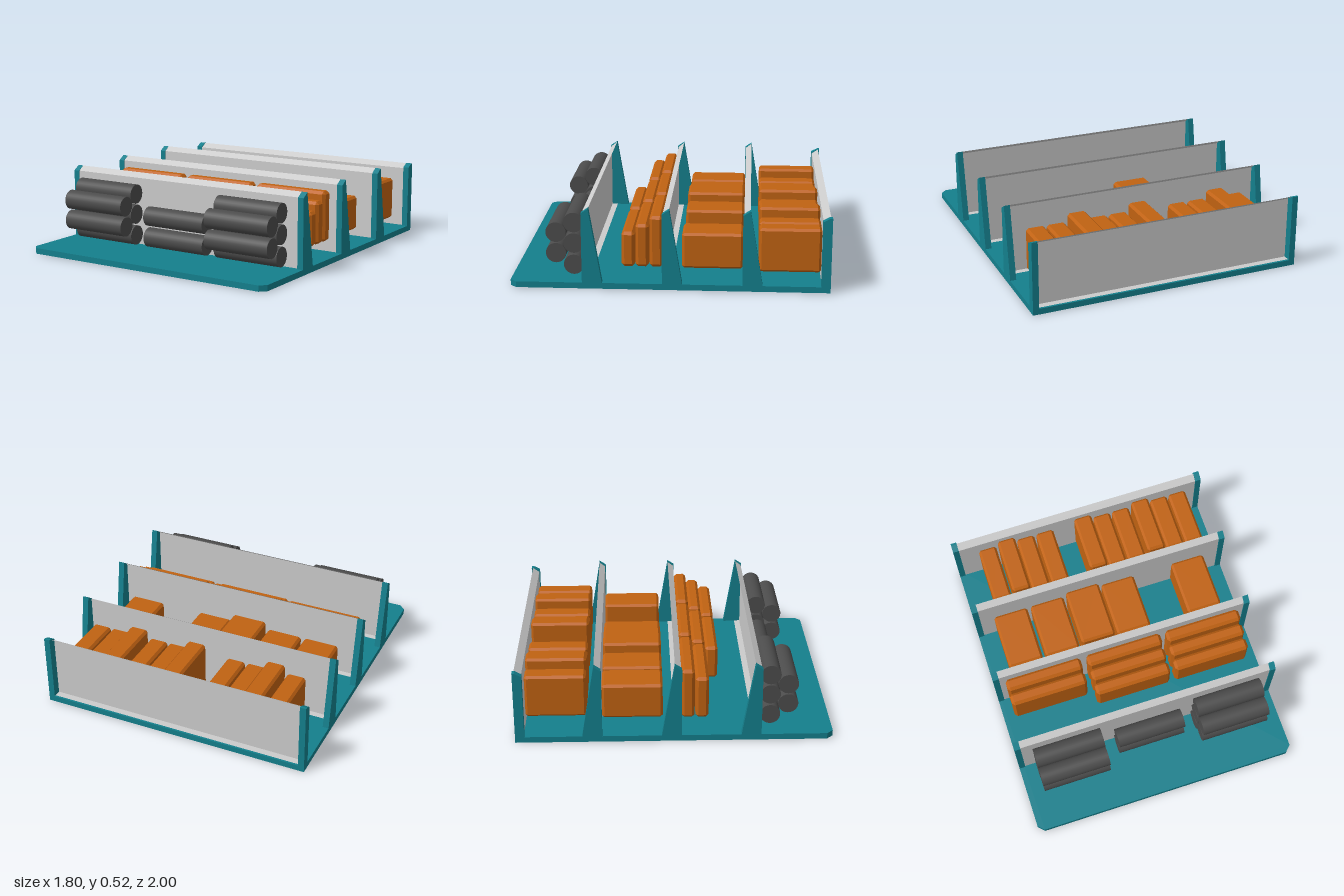
import * as THREE from 'three';
import { ConvexGeometry } from 'three/addons/geometries/ConvexGeometry.js';

const mat = (color, side = THREE.FrontSide) => new THREE.MeshStandardMaterial({ color, side });
const teal = mat(0x147f8c);
const orange = mat(0xc06212);
const dark = mat(0x4c4c4c);
const grey = mat(0xcccccc, THREE.DoubleSide);

function add(parent, name, geometry, material) {
  const mesh = new THREE.Mesh(geometry, material);
  mesh.name = name;
  parent.add(mesh);
  return mesh;
}

const shapeOf = (points) => new THREE.Shape(points.map(([a, b]) => new THREE.Vector2(a, b)));

// Side profile given as (z, y), extruded along x around a centre
function extrudeX(profile, x, width) {
  const g = new THREE.ExtrudeGeometry(shapeOf(profile), { depth: width, bevelEnabled: false });
  return g.rotateY(-Math.PI / 2).translate(x + width / 2, 0, 0);
}

// Thin folded sheet following an open (z, y) profile across the width
function sheet(profile, halfWidth) {
  const pos = [];
  for (let i = 0; i < profile.length - 1; i++) {
    const [z0, y0] = profile[i], [z1, y1] = profile[i + 1], w = halfWidth;
    pos.push(-w, y0, z0, w, y0, z0, w, y1, z1, -w, y0, z0, w, y1, z1, -w, y1, z1);
  }
  const g = new THREE.BufferGeometry();
  g.setAttribute('position', new THREE.Float32BufferAttribute(pos, 3));
  g.computeVertexNormals();
  return g;
}

// Box with every edge chamfered, given by its limits
function chamferBox(x0, x1, y0, y1, z0, z1, c) {
  const half = new THREE.Vector3(x1 - x0, y1 - y0, z1 - z0).multiplyScalar(0.5);
  const points = [];
  for (const sx of [-1, 1]) for (const sy of [-1, 1]) for (const sz of [-1, 1]) {
    for (const axis of [0, 1, 2]) {
      const h = [half.x - c, half.y - c, half.z - c];
      h[axis] += c;
      points.push(new THREE.Vector3(sx * h[0], sy * h[1], sz * h[2]));
    }
  }
  return new ConvexGeometry(points).translate((x0 + x1) / 2, (y0 + y1) / 2, (z0 + z1) / 2);
}

function outline(w, front, back, cut) {
  return shapeOf([[-w, back], [w, back], [w, front - cut], [w - cut, front], [-w + cut, front], [-w, front - cut]]);
}

export function createModel() {
  const model = new THREE.Group();
  model.name = 'storageRack';

  // Base plate with clipped front corners, and its grey underside
  const base = new THREE.ExtrudeGeometry(outline(0.9, 1, -1, 0.04), { depth: 0.038, bevelEnabled: false });
  add(model, 'basePlate', base.rotateX(Math.PI / 2).translate(0, 0.04, 0), teal);
  const under = new THREE.ShapeGeometry(outline(0.88, 0.98, -0.98, 0.035));
  add(model, 'underside', under.rotateX(Math.PI / 2), grey);

  // Dividers: a folded sheet held between two tapered end brackets
  for (const z of [0.5, 0, -0.5, -1]) {
    const last = z === -1;
    const divider = new THREE.Group();
    divider.name = last ? 'rearDivider' : 'divider';
    const profile = last
      ? [[-1, 0.04], [-0.942, 0.04], [-0.942, 0.46], [-0.985, 0.483], [-1, 0.483]]
      : [[z - 0.08, 0.04], [z + 0.045, 0.04], [z + 0.045, 0.49], [z, 0.52]];
    for (const side of [-1, 1]) add(divider, 'endBracket', extrudeX(profile, side * 0.88, 0.04), teal);
    const front = last ? -0.946 : z + 0.04;
    const back = last ? -0.99 : z;
    const top = last ? 0.483 : 0.52;
    add(divider, 'panel', sheet([[back, 0.043], [front, 0.043], [front, top - 0.03], [back, top]], 0.86), grey);
    model.add(divider);
  }

  // Front row: stacked rolls
  const rolls = new THREE.Group();
  rolls.name = 'rolls';
  const spots = [[0.12, 0.608], [0.26, 0.608], [0.395, 0.608], [0.195, 0.72], [0.33, 0.72]];
  for (const [x, count] of [[-0.555, 5], [0.005, 2], [0.555, 5]]) {
    for (const [y, z] of spots.slice(0, count)) {
      const roll = new THREE.CylinderGeometry(0.064, 0.064, 0.46, 32).rotateZ(Math.PI / 2);
      add(rolls, 'roll', roll.translate(x, y, z), dark);
    }
  }
  model.add(rolls);

  // Second row: wide slabs stepping down towards the front
  const slabs = new THREE.Group();
  slabs.name = 'slabs';
  for (const [x, count] of [[-0.563, 2], [-0.002, 3], [0.555, 3]]) {
    for (let i = 0; i < count; i++) {
      const z = 0.045 + i * 0.088;
      add(slabs, 'slab', chamferBox(x - 0.26, x + 0.26, 0.12, 0.45 - i * 0.052, z, z + 0.083, 0.018), orange);
    }
  }
  model.add(slabs);

  // Third row: wide boxes
  const wideBoxes = new THREE.Group();
  wideBoxes.name = 'wideBoxes';
  for (const [x, top] of [[-0.647, 0.325], [-0.387, 0.325], [-0.132, 0.375], [0.123, 0.325], [0.633, 0.325]]) {
    add(wideBoxes, 'wideBox', chamferBox(x - 0.118, x + 0.118, 0.095, top, -0.457, -0.072, 0.015), orange);
  }
  model.add(wideBoxes);

  // Rear row: narrow upright boxes
  const narrowBoxes = new THREE.Group();
  narrowBoxes.name = 'narrowBoxes';
  const centres = [-0.667, -0.527, -0.392, -0.252, 0.027, 0.165, 0.302, 0.445, 0.585, 0.722];
  centres.forEach((x, i) => {
    const top = i % 3 === 1 ? 0.43 : 0.375;
    add(narrowBoxes, 'narrowBox', chamferBox(x - 0.062, x + 0.062, 0.092, top, -0.945, -0.556, 0.015), orange);
  });
  model.add(narrowBoxes);

  return model;
}
